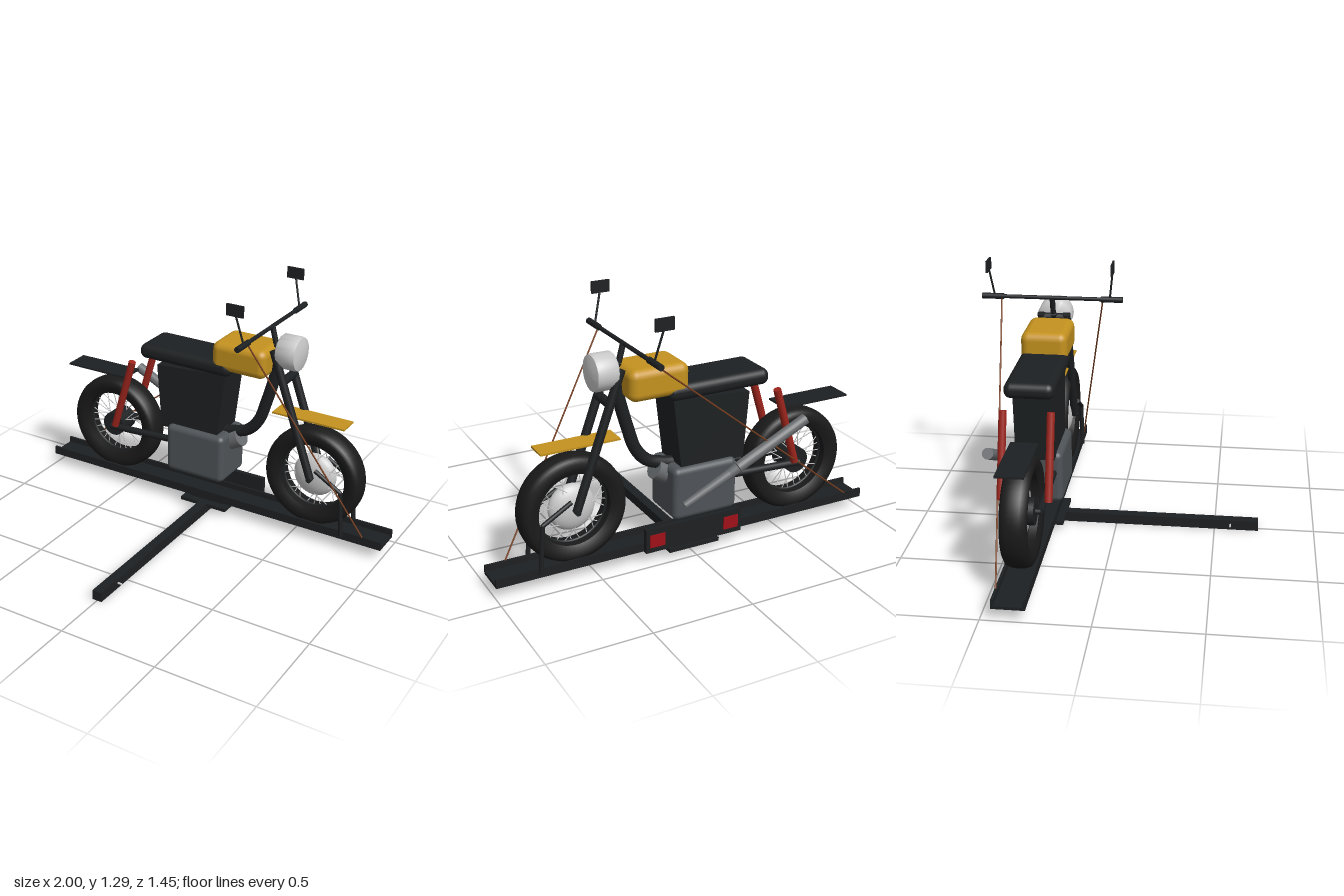
import * as THREE from 'three';
import { RoundedBoxGeometry } from 'three/addons/geometries/RoundedBoxGeometry.js';
import { toCreasedNormals } from 'three/addons/utils/BufferGeometryUtils.js';

const Z = -0.37; // centre line of the motorcycle
const mat = (color) => new THREE.MeshStandardMaterial({ color });
const black = mat(0x1d2022), rubber = mat(0x1a1a1a), grey = mat(0xcccccc), steel = mat(0x4f5458);
const pipe = mat(0x6a6d70), yellow = mat(0xc4921f), red = mat(0x9c241c), lampRed = mat(0xa01018), strapMat = mat(0x7a4020);
const V = (x, y, z) => new THREE.Vector3(x, y, z);

export function createModel() {
  const root = new THREE.Group();

  const add = (name, geometry, material, x = 0, y = 0, z = 0, parent = root) => {
    const m = new THREE.Mesh(geometry, material);
    m.name = name;
    m.position.set(x, y, z);
    parent.add(m);
    return m;
  };
  // box given by its extents along each axis
  const box = (name, material, [x0, x1], [y0, y1], [z0, z1], radius = 0) => {
    const s = [x1 - x0, y1 - y0, z1 - z0];
    const g = radius ? new RoundedBoxGeometry(...s, 3, radius) : new THREE.BoxGeometry(...s);
    return add(name, g, material, (x0 + x1) / 2, (y0 + y1) / 2, (z0 + z1) / 2);
  };
  // straight round bar from a to b
  const rod = (name, material, a, b, r0, r1 = r0, sides = 16, parent = root) => {
    const d = b.clone().sub(a);
    const m = add(name, new THREE.CylinderGeometry(r1, r0, d.length(), sides), material, 0, 0, 0, parent);
    m.position.copy(a).add(b).multiplyScalar(0.5);
    m.quaternion.setFromUnitVectors(V(0, 1, 0), d.normalize());
    return m;
  };

  // carrier: hitch bar, plate, U-channel rail and light board
  box('hitchBar', black, [-0.025, 0.025], [0, 0.05], [-0.365, 0.72]);
  rod('hitchPin', grey, V(-0.047, 0.028, 0.58), V(0.047, 0.028, 0.58), 0.005);
  box('mountPlate', black, [-0.135, 0.135], [0.032, 0.05], [-0.475, -0.26]);
  box('mountBlock', black, [-0.1, 0.1], [0.045, 0.065], [-0.44, -0.3]);
  box('railFloor', black, [-1, 1], [0.06, 0.075], [-0.447, -0.293]);
  for (const z of [-0.447, -0.305]) box('railWall', black, [-1, 1], [0.06, 0.105], [z, z + 0.012]);
  box('lightBoard', black, [-0.26, 0.26], [0.058, 0.18], [-0.472, -0.448]);
  for (const x of [-0.2, 0.2]) box('tailLight', lampRed, [x - 0.04, x + 0.04], [0.085, 0.15], [-0.477, -0.47]);

  // wheel chock: one bent arm on each side of the front wheel
  for (const s of [-1, 1]) {
    const z = Z + s * 0.079;
    rod('chockLeg', black, V(0.785, 0.08, z), V(0.768, 0.32, z), 0.011);
    rod('chockArm', black, V(0.768, 0.32, z), V(0.625, 0.405, z), 0.011);
    add('chockElbow', new THREE.SphereGeometry(0.011, 12, 8), black, 0.768, 0.32, z);
  }

  // wheels: tyre, rim and spokes around the z axis
  const tyreProfile = [[0.178, -0.045], [0.205, -0.06], [0.235, -0.064], [0.252, -0.054], [0.261, -0.032], [0.264, 0],
    [0.261, 0.032], [0.252, 0.054], [0.235, 0.064], [0.205, 0.06], [0.178, 0.045], [0.178, -0.045]];
  const tyreGeo = toCreasedNormals(
    new THREE.LatheGeometry(tyreProfile.map(([r, h]) => new THREE.Vector2(r, h)), 56).rotateX(Math.PI / 2), 0.7);
  const makeWheel = (name, x, hubR) => {
    const wheel = new THREE.Group();
    wheel.name = name;
    wheel.position.set(x, 0.343, Z);
    root.add(wheel);
    add('tyre', tyreGeo, rubber, 0, 0, 0, wheel);
    add('rim', new THREE.TorusGeometry(0.178, 0.008, 8, 48), black, 0, 0, 0, wheel);
    const n = 28;
    for (let i = 0; i < n; i++) {
      const a = (i / n) * Math.PI * 2, b = a + (i % 4 < 2 ? 0.35 : -0.35), side = i % 2 ? 1 : -1;
      rod('spoke', grey, V(Math.cos(b) * hubR * 0.8, Math.sin(b) * hubR * 0.8, side * 0.03),
        V(Math.cos(a) * 0.178, Math.sin(a) * 0.178, 0), 0.0025, 0.0025, 5, wheel);
    }
    return wheel;
  };
  const rear = makeWheel('rearWheel', -0.6, 0.065);
  add('rearHub', new THREE.CylinderGeometry(0.065, 0.065, 0.12, 32).rotateX(Math.PI / 2), black, 0, 0, 0, rear);
  const front = makeWheel('frontWheel', 0.594, 0.115);
  add('frontDrum', new THREE.SphereGeometry(0.115, 32, 20).scale(1, 1, 0.48), grey, 0, 0, 0, front);
  for (const x of [-0.6, 0.594]) rod('axle', black, V(x, 0.343, Z - 0.085), V(x, 0.343, Z + 0.085), 0.014);

  // fork legs, swingarm and shock absorbers, mirrored across the centre line
  for (const s of [-1, 1]) {
    rod('forkLeg', black, V(0.594, 0.343, Z + s * 0.065), V(0.365, 0.99, Z + s * 0.065), 0.021);
    rod('swingArm', black, V(-0.6, 0.343, Z + s * 0.08), V(-0.18, 0.362, Z + s * 0.08), 0.018);
    rod('shockAbsorber', red, V(-0.552, 0.37, Z + s * 0.113), V(-0.433, 0.77, Z + s * 0.113), 0.019);
  }
  rod('forkClamp', black, V(0.372, 0.97, Z - 0.065), V(0.372, 0.97, Z + 0.065), 0.022);
  rod('forkClamp', black, V(0.42, 0.835, Z - 0.065), V(0.42, 0.835, Z + 0.065), 0.022);
  rod('barStem', black, V(0.372, 0.97, Z), V(0.345, 1.0, Z), 0.016);

  // frame down tube
  const downTube = new THREE.CatmullRomCurve3([V(0.375, 0.95, Z), V(0.345, 0.82, Z), V(0.305, 0.68, Z),
    V(0.265, 0.565, Z), V(0.205, 0.495, Z), V(0.12, 0.465, Z), V(0, 0.45, Z)]);
  add('downTube', new THREE.TubeGeometry(downTube, 40, 0.03, 16), black);

  // engine, cylinder and exhaust
  box('engine', steel, [-0.22, 0.12], [0.2, 0.465], [-0.492, -0.245], 0.03);
  rod('engineCylinder', pipe, V(0.04, 0.375, Z), V(0.165, 0.444, Z), 0.052, 0.052, 24);
  const exhaust = [[0.07, 0.28, -0.497], [-0.16, 0.405, -0.52], [-0.2, 0.43, -0.526], [-0.57, 0.61, -0.53]].map((p) => V(...p));
  rod('exhaustPipe', pipe, exhaust[0], exhaust[1], 0.018, 0.023, 20);
  rod('exhaustCone', pipe, exhaust[1], exhaust[2], 0.023, 0.027, 20);
  rod('muffler', pipe, exhaust[2], exhaust[3], 0.027, 0.027, 20);

  // body panel, seat and tank
  const panel = new THREE.Shape([[-0.29, 0.78], [-0.265, 0.45], [0.07, 0.45], [0.115, 0.81]].map((p) => new THREE.Vector2(...p)));
  add('bodyPanel', new THREE.ExtrudeGeometry(panel, { depth: 0.19, bevelEnabled: false }), black, 0, 0, Z - 0.095);
  box('seat', black, [-0.39, 0.145], [0.803, 0.883], [-0.492, -0.25], 0.036);
  box('fuelTank', yellow, [0.038, 0.34], [0.832, 0.985], [-0.488, -0.255], 0.04);

  // mudguards
  box('frontMudguard', yellow, [0.365, 0.757], [0.648, 0.657], [Z - 0.055, Z + 0.055]);
  box('rearMudguard', black, [-0.88, -0.51], [0.638, 0.647], [Z - 0.066, Z + 0.066]);

  // headlight with a shallow lens
  const lamp = [[0, -0.06], [0.08, -0.06], [0.087, -0.053], [0.088, 0.03], [0.084, 0.046], [0.05, 0.056], [0, 0.06]];
  add('headlight', toCreasedNormals(new THREE.LatheGeometry(lamp.map(([r, h]) => new THREE.Vector2(r, h)), 40)
    .rotateZ(-Math.PI / 2), 0.9), grey, 0.437, 0.972, Z);

  // handlebar, grips, mirrors and tie-down straps
  const hx = 0.322, hy = 1.088;
  rod('handlebar', black, V(hx, hy, Z - 0.34), V(hx, hy, Z + 0.34), 0.01);
  rod('handlebarRiser', black, V(0.345, 1.0, Z), V(hx, hy, Z), 0.014);
  for (const s of [-1, 1]) {
    rod('grip', black, V(hx, hy, Z + s * 0.25), V(hx, hy, Z + s * 0.361), 0.015);
    rod('mirrorStalk', black, V(hx, hy, Z + s * 0.295), V(0.285, 1.24, Z + s * 0.314), 0.005);
    box('mirror', black, [0.237, 0.328], [1.232, 1.29], [Z + s * 0.315 - 0.005, Z + s * 0.315 + 0.005]);
    rod('strap', strapMat, V(hx, hy - 0.005, Z + s * 0.26), V(s * 0.9, 0.1, Z + s * 0.073), 0.004, 0.004, 8);
  }
  return root;
}
